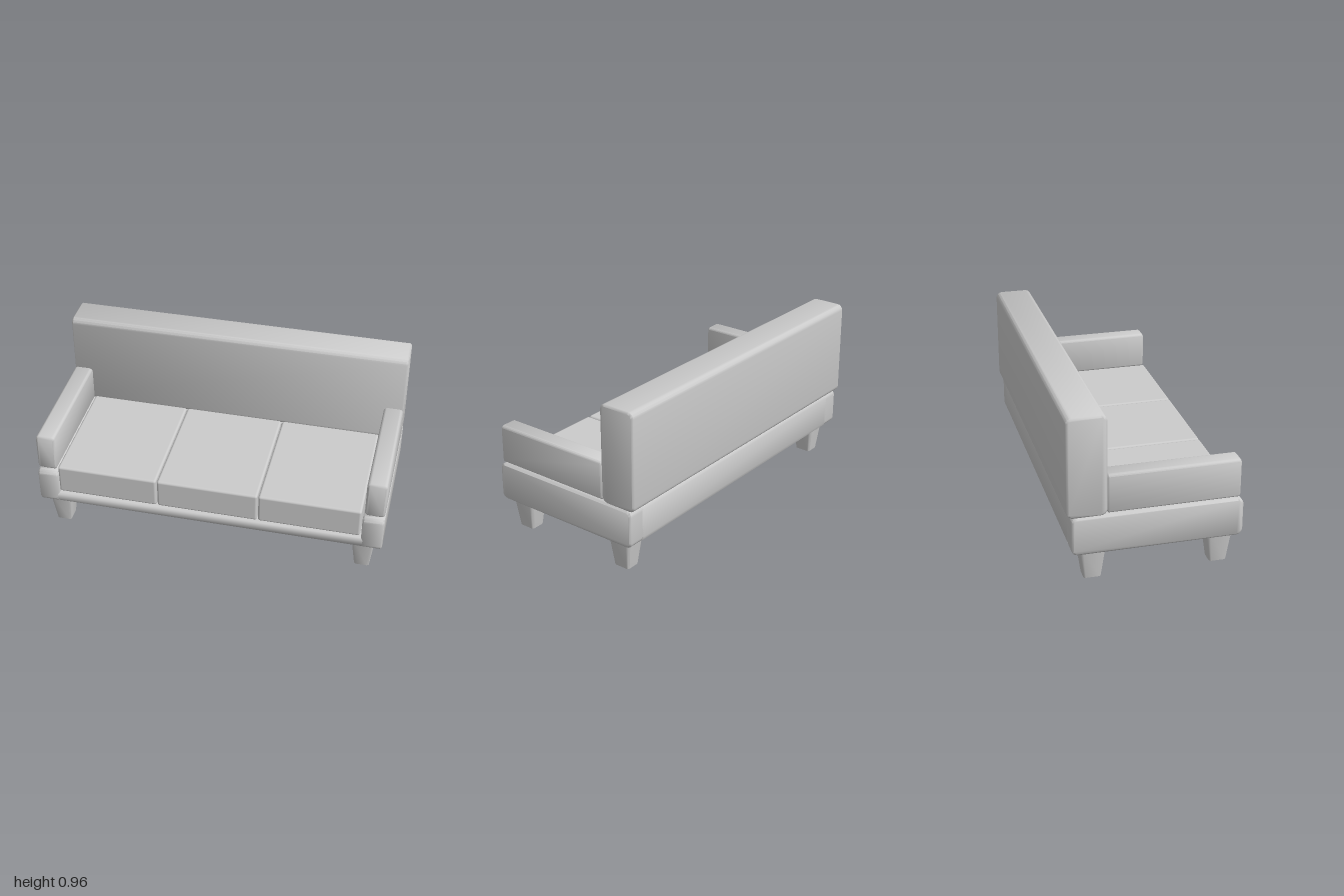
import * as THREE from 'three';
import { toCreasedNormals } from 'three/addons/utils/BufferGeometryUtils.js';
import { RoundedBoxGeometry } from 'three/addons/geometries/RoundedBoxGeometry.js';

const material = new THREE.MeshStandardMaterial({ color: 0xcccccc });
const BEVEL = 0.01;

function addMesh(parent, name, geometry) {
  const mesh = new THREE.Mesh(geometry, material);
  mesh.name = name;
  parent.add(mesh);
  return mesh;
}

// Rectangle w x h about the origin with two-step softened corners
function softRect(w, h, r) {
  const shape = new THREE.Shape();
  const corners = [[1, 1, 0], [-1, 1, 1], [-1, -1, 2], [1, -1, 3]];
  for (const [sx, sy, quarter] of corners) {
    const a = quarter * Math.PI / 2;
    shape.absarc(sx * (w / 2 - r), sy * (h / 2 - r), r, a, a + Math.PI / 2, false);
  }
  return shape;
}

// Padded bar centred on its own middle, running along z, with bevelled ends
function paddedBar(w, h, length, r) {
  const geometry = new THREE.ExtrudeGeometry(softRect(w - 2 * BEVEL, h - 2 * BEVEL, r), {
    depth: length - 2 * BEVEL, curveSegments: 2,
    bevelEnabled: true, bevelSize: BEVEL, bevelThickness: BEVEL, bevelSegments: 1,
  });
  geometry.translate(0, 0, -length / 2 + BEVEL);
  return toCreasedNormals(geometry, 0.85);
}

// Tapered leg: soft square, narrower at the floor
function legGeometry() {
  const height = 0.19;
  const geometry = new THREE.ExtrudeGeometry(softRect(0.13, 0.145, 0.018), {
    depth: height, curveSegments: 1, bevelEnabled: false,
  });
  geometry.rotateX(-Math.PI / 2);
  const p = geometry.attributes.position;
  for (let i = 0; i < p.count; i++) {
    const k = 0.66 + 0.34 * (p.getY(i) / height);
    p.setX(i, p.getX(i) * k);
    p.setZ(i, p.getZ(i) * k);
  }
  return toCreasedNormals(geometry, 0.85);
}

export function createModel() {
  const sofa = new THREE.Group();
  sofa.name = 'sofa';

  // Base: raised ends, low front and a raised strip below the backrest
  const base = new THREE.Group();
  base.name = 'base';
  sofa.add(base);
  for (const side of [-1, 1]) {
    const end = addMesh(base, side > 0 ? 'leftBaseEnd' : 'rightBaseEnd',
      paddedBar(0.935, 0.22, 0.12, 0.025).rotateY(Math.PI / 2));
    end.position.set(side * 0.94, 0.29, 0.0125);
  }
  const profile = new THREE.Shape();
  [[0.44, 0.18], [0.466, 0.187], [0.48, 0.21], [0.48, 0.24], [0.47, 0.25], [-0.27, 0.25],
    [-0.27, 0.4], [-0.42, 0.4], [-0.445, 0.392], [-0.455, 0.37], [-0.455, 0.21],
    [-0.445, 0.187], [-0.42, 0.18]].forEach(([z, y], i) => {
    if (i) profile.lineTo(-z, y); else profile.moveTo(-z, y);
  });
  const middle = new THREE.ExtrudeGeometry(profile, { depth: 1.8, bevelEnabled: false });
  middle.translate(0, 0, -0.9).rotateY(Math.PI / 2);
  addMesh(base, 'baseMiddle', toCreasedNormals(middle, 0.85));

  // Backrest
  const back = addMesh(sofa, 'backrest', paddedBar(0.218, 0.565, 2, 0.025).rotateY(Math.PI / 2));
  back.position.set(0, 0.682, -0.371);

  // Armrests
  for (const side of [-1, 1]) {
    const arm = addMesh(sofa, side > 0 ? 'leftArmrest' : 'rightArmrest',
      paddedBar(0.112, 0.223, 0.725, 0.012));
    arm.position.set(side * 0.944, 0.519, 0.0975);
  }

  // Three seat cushions
  for (let i = 0; i < 3; i++) {
    const cushion = addMesh(sofa, 'seatCushion' + (i + 1),
      new RoundedBoxGeometry(0.582, 0.176, 0.725, 2, 0.014));
    cushion.position.set(-0.593 + i * 0.587, 0.339, 0.0975);
  }

  // Legs
  const leg = legGeometry();
  for (const x of [-0.89, 0.89]) {
    for (const z of [0.369, -0.33]) {
      const name = (z > 0 ? 'front' : 'back') + (x > 0 ? 'Left' : 'Right') + 'Leg';
      addMesh(sofa, name, leg).position.set(x, 0, z);
    }
  }
  return sofa;
}
